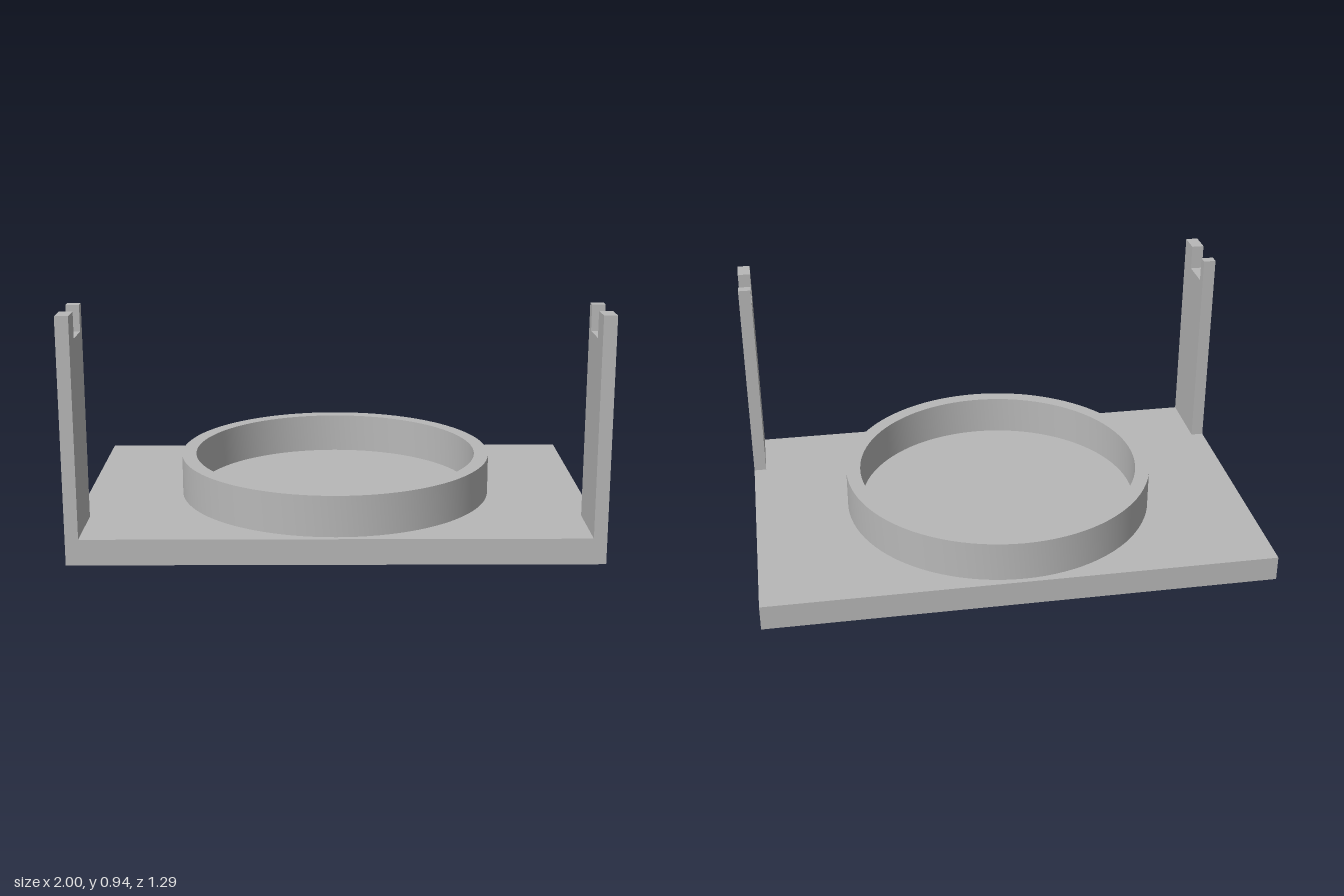
import * as THREE from 'three';
import { toCreasedNormals } from 'three/addons/utils/BufferGeometryUtils.js';

const BASE_H = 0.1, BASE_D = 1.29;
const POST_T = 0.05, POST_TOP = 0.935;
const RING_H = 0.16, RING_OUTER = 0.623, RING_INNER = 0.566;

export function createModel() {
  const model = new THREE.Group();
  model.name = 'cradleStand';
  const grey = new THREE.MeshStandardMaterial({ color: 0xb8b8b8 });
  grey.name = 'grey';

  const add = (name, geometry, x, y, z) => {
    const mesh = new THREE.Mesh(geometry, grey);
    mesh.name = name;
    mesh.position.set(x, y, z);
    model.add(mesh);
  };

  // Flat rectangular base
  add('basePlate', new THREE.BoxGeometry(2, BASE_H, BASE_D), 0, BASE_H / 2, 0);

  // Round retaining rim, open in the middle
  const rim = new THREE.Shape().absarc(0, 0, RING_OUTER, 0, Math.PI * 2);
  rim.holes.push(new THREE.Path().absarc(0, 0, RING_INNER, 0, Math.PI * 2, true));
  const rimGeometry = new THREE.ExtrudeGeometry(rim, {
    depth: RING_H, bevelEnabled: false, curveSegments: 48,
  });
  rimGeometry.rotateX(-Math.PI / 2);
  add('ring', toCreasedNormals(rimGeometry, 0.5), 0, BASE_H, 0);

  // Notched upright: outline in (z, y), extruded across x
  const outline = [
    [0.375, BASE_H], [0.645, BASE_H], [0.645, POST_TOP], [0.55, POST_TOP],
    [0.55, 0.835], [0.414, 0.835], [0.414, POST_TOP], [0.375, POST_TOP],
  ];
  const postShape = new THREE.Shape(outline.map(([z, y]) => new THREE.Vector2(z, y)));
  const postGeometry = new THREE.ExtrudeGeometry(postShape, { depth: POST_T, bevelEnabled: false });
  postGeometry.rotateY(-Math.PI / 2).translate(POST_T / 2, 0, 0);
  for (const [name, side] of [['leftPost', 1], ['rightPost', -1]]) {
    add(name, postGeometry, side * (1 - POST_T / 2), 0, 0);
  }

  return model;
}
